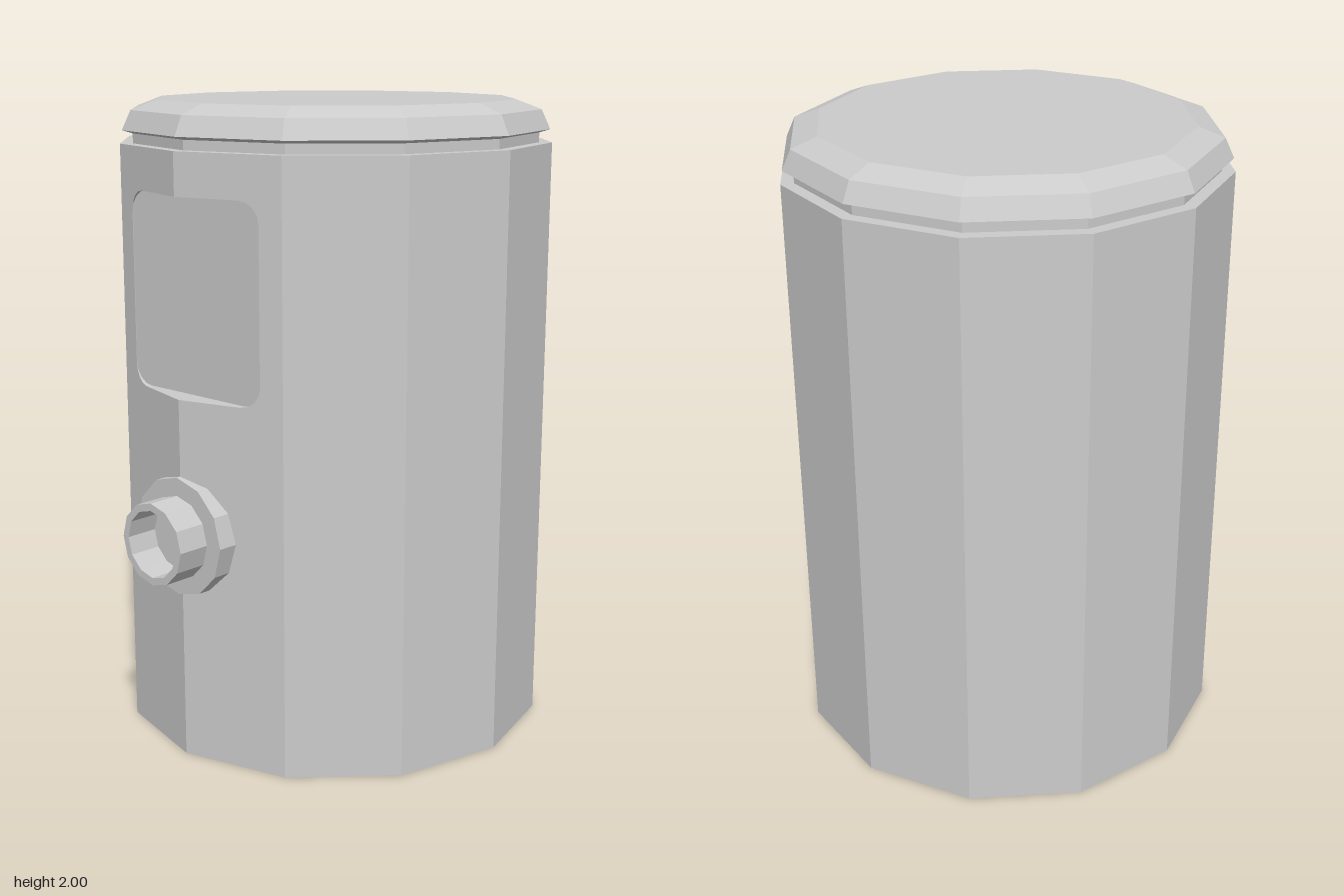
import * as THREE from 'three';

const SIDES = 12, R = 0.685, H = 1.87, CZ = -0.06;
const FACET_X = R * Math.sin(Math.PI / 6);
const SLOPE = Math.tan(Math.PI / 12);
// depth of the two front facets, which meet in an edge at x = 0
const facetZ = (x) => CZ + R - SLOPE * Math.abs(x);

const mat = new THREE.MeshStandardMaterial({ color: 0xcccccc, flatShading: true, side: THREE.DoubleSide });

function add(parent, name, geometry) {
  const mesh = new THREE.Mesh(geometry, mat);
  mesh.name = name;
  parent.add(mesh);
  return mesh;
}

function lathe(profile) {
  return new THREE.LatheGeometry(profile.map(([r, y]) => new THREE.Vector2(r, y)), SIDES);
}

// flat shape whose vertices are pushed out to depth(x)
function panel(points, depth) {
  const g = new THREE.ShapeGeometry(new THREE.Shape(points));
  const p = g.attributes.position;
  for (let i = 0; i < p.count; i++) p.setZ(i, depth(p.getX(i)));
  g.computeVertexNormals();
  return g;
}

// half outline of the window, from bottom centre round to top centre
function windowOutline(s) {
  const w = 0.27, y0 = 1.14, y1 = 1.74, r = 0.065, pts = [[0, y0]];
  for (let i = 0; i <= 4; i++) {
    const a = -Math.PI / 2 + (i / 4) * Math.PI / 2;
    pts.push([w - r + r * Math.cos(a), y0 + r + r * Math.sin(a)]);
  }
  for (let i = 0; i <= 4; i++) {
    const a = (i / 4) * Math.PI / 2;
    pts.push([w - r + r * Math.cos(a), y1 - r + r * Math.sin(a)]);
  }
  pts.push([0, y1]);
  return pts.map(([x, y]) => new THREE.Vector2(x * s, y));
}

// strip joining the facet opening to the recess floor
function recessWall(outline, floorZ, s) {
  const pos = [], idx = [];
  outline.forEach((p, i) => {
    pos.push(p.x, p.y, facetZ(p.x), p.x, p.y, floorZ);
    if (i === 0) return;
    const a = 2 * i - 2, b = a + 1, c = a + 2, d = a + 3;
    if (s > 0) idx.push(a, c, b, b, c, d);
    else idx.push(a, b, c, b, d, c);
  });
  const g = new THREE.BufferGeometry();
  g.setAttribute('position', new THREE.Float32BufferAttribute(pos, 3));
  g.setIndex(idx);
  g.computeVertexNormals();
  return g;
}

export function createModel() {
  const model = new THREE.Group();
  model.name = 'canister';

  // ten plain facets of the body
  const body = new THREE.Group();
  body.name = 'body';
  model.add(body);
  add(body, 'bodyShell', new THREE.CylinderGeometry(R, R, H, SIDES - 2, 1, true, Math.PI / 6, Math.PI * 10 / 6))
    .position.set(0, H / 2, CZ);

  // end discs
  const disc = new THREE.CircleGeometry(R, SIDES);
  const base = add(body, 'base', disc);
  base.rotation.x = Math.PI / 2;
  base.position.z = CZ;
  const shoulder = add(body, 'shoulder', disc);
  shoulder.rotation.x = -Math.PI / 2;
  shoulder.position.set(0, H, CZ);

  // two front facets with the flat-floored window cut in
  const floorZ = facetZ(0.27) - 0.002;
  for (const s of [1, -1]) {
    const side = s > 0 ? 'Left' : 'Right';
    const outline = windowOutline(s);
    const corners = [[0, H], [FACET_X, H], [FACET_X, 0], [0, 0]].map(([x, y]) => new THREE.Vector2(x * s, y));
    add(body, 'frontFacet' + side, panel([...outline, ...corners], facetZ));
    add(body, 'windowFloor' + side, panel(outline, () => floorZ));
    add(body, 'windowWall' + side, recessWall(outline, floorZ, s));
  }

  // lid with a narrow neck and two bevels
  add(model, 'lid', lathe([
    [0.645, H], [0.645, 1.9], [0.678, 1.91], [0.65, 1.97], [0.57, 2], [0, 2],
  ])).position.z = CZ;

  // flange and hollow spout
  const spout = add(model, 'spout', lathe([
    [0.185, 0.565], [0.185, 0.64], [0.128, 0.64], [0.128, 0.745],
    [0.105, 0.745], [0.105, 0.64], [0, 0.64],
  ]));
  spout.rotation.x = Math.PI / 2;
  spout.position.y = 0.718;

  return model;
}
